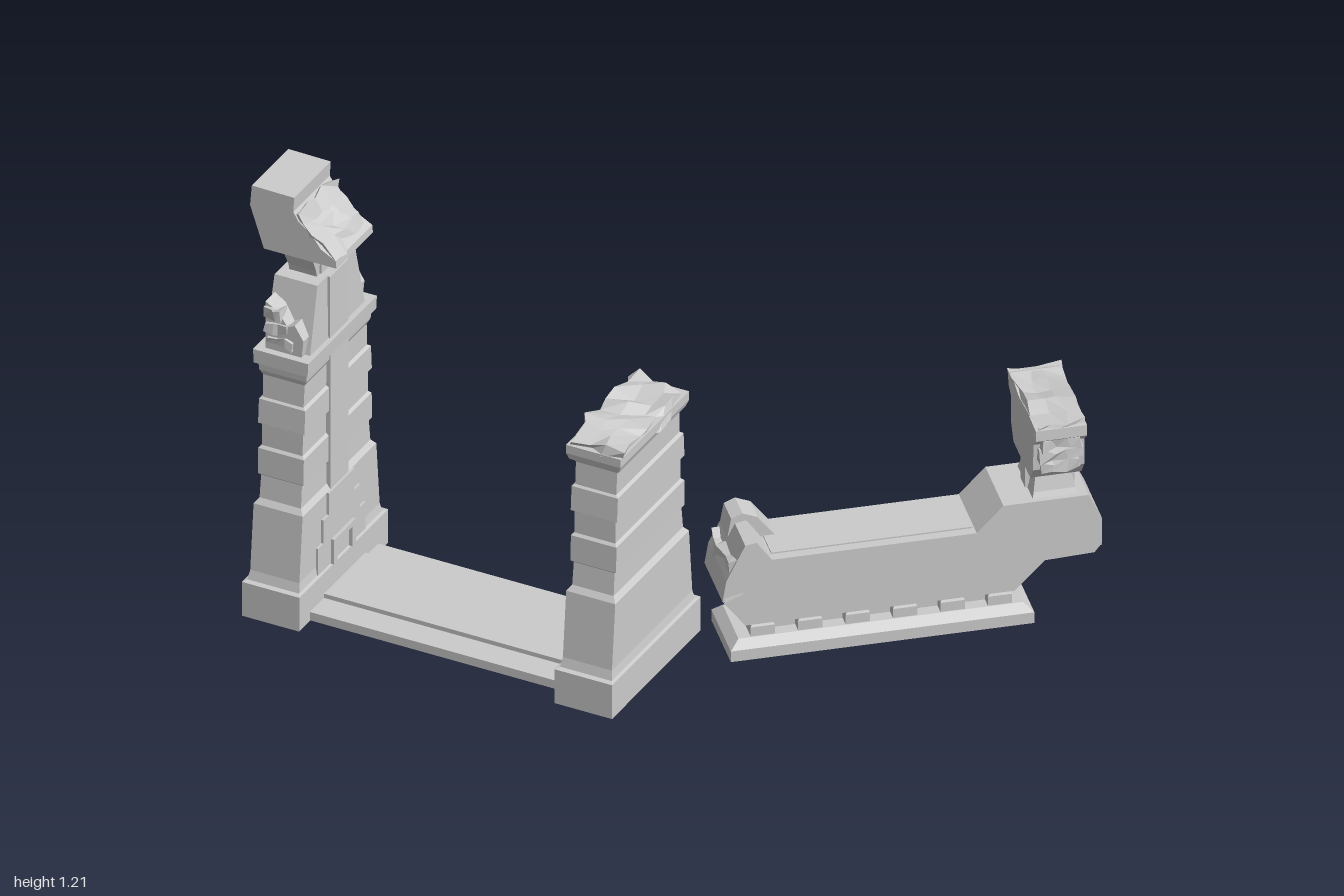
import * as THREE from 'three';

const stone = new THREE.MeshStandardMaterial({ color: 0xcccccc, flatShading: true });

function add(parent, name, geo, x = 0, y = 0, z = 0) {
  const m = new THREE.Mesh(geo, stone);
  m.name = name;
  m.position.set(x, y, z);
  parent.add(m);
  return m;
}
const box = (w, h, d) => new THREE.BoxGeometry(w, h, d);

// Stack of rectangular sections, each [y, halfX, halfZ]
function loft(rows) {
  const pos = [], idx = [];
  rows.forEach(([y, a, b]) => pos.push(-a, y, b, a, y, b, a, y, -b, -a, y, -b));
  for (let r = 0; r < rows.length - 1; r++) {
    for (let i = 0; i < 4; i++) {
      const p = r * 4 + i, q = r * 4 + (i + 1) % 4;
      idx.push(p, q, q + 4, p, q + 4, p + 4);
    }
  }
  const t = (rows.length - 1) * 4;
  idx.push(0, 2, 1, 0, 3, 2, t, t + 1, t + 2, t, t + 2, t + 3);
  const g = new THREE.BufferGeometry();
  g.setAttribute('position', new THREE.Float32BufferAttribute(pos, 3));
  g.setIndex(idx);
  const flat = g.toNonIndexed();
  flat.computeVertexNormals();
  return flat;
}

// Side profile extruded symmetrically across z
function slab(points, depth) {
  const s = new THREE.Shape(points.map(([x, y]) => new THREE.Vector2(x, y)));
  return new THREE.ExtrudeGeometry(s, { depth, bevelEnabled: false }).translate(0, 0, -depth / 2);
}

// Block with broken faces: vertices shift by a repeatable hash of their place
function rubble(w, h, d, nx, ny, nz, amp, seed) {
  const g = new THREE.BoxGeometry(w, h, d, nx, ny, nz);
  const p = g.attributes.position, v = new THREE.Vector3();
  const hash = (k) => {
    const n = Math.sin(v.x * 127.1 + v.y * 311.7 + v.z * 74.7 + seed + k * 19.3) * 43758.5;
    return n - Math.floor(n) - 0.5;
  };
  for (let i = 0; i < p.count; i++) {
    v.fromBufferAttribute(p, i);
    v.set(...v.toArray().map((c) => Math.round(c * 1000) / 1000 + 0));
    p.setXYZ(i, v.x + hash(1) * amp, v.y + hash(2) * amp, v.z + hash(3) * amp);
  }
  g.computeVertexNormals();
  return g;
}

// Banded gate pillar; its +x side is the decorated inner face
function pillar() {
  const g = new THREE.Group();
  add(g, 'pillarShaft', loft([
    [0.005, 0.083, 0.243], [0.107, 0.083, 0.243], [0.109, 0.075, 0.228], [0.135, 0.071, 0.22],
    [0.325, 0.071, 0.202], [0.34, 0.06, 0.19], [0.405, 0.059, 0.183],
    [0.41, 0.066, 0.188], [0.485, 0.066, 0.186], [0.492, 0.059, 0.179], [0.555, 0.059, 0.178],
    [0.56, 0.067, 0.185], [0.63, 0.067, 0.18], [0.635, 0.059, 0.174], [0.7, 0.06, 0.17],
    [0.715, 0.068, 0.176], [0.74, 0.07, 0.178],
  ]));
  // Inner strip with a stepped foot and a framed niche
  add(g, 'innerStrip', box(0.03, 0.42, 0.1), 0.056, 0.53);
  [[0.15, 0.26], [0.22, 0.2], [0.285, 0.14]].forEach(([y, w]) =>
    add(g, 'innerStep', box(0.03, 0.08, w), 0.063, y));
  [-1, 1].forEach((s) => add(g, 'nichePost', box(0.014, 0.06, 0.02), 0.08, 0.138, s * 0.05));
  add(g, 'nicheLintel', box(0.014, 0.016, 0.12), 0.08, 0.174);
  return g;
}

function tallPillar() {
  const g = pillar();
  add(g, 'pillarCap', loft([[0.74, 0.078, 0.188], [0.78, 0.08, 0.188]]));
  add(g, 'upperBlock', loft([[0.78, 0.065, 0.15], [0.9, 0.063, 0.12], [0.965, 0.062, 0.104]]));
  add(g, 'upperStrip', box(0.02, 0.185, 0.1), 0.06, 0.872);
  add(g, 'neck', loft([[0.965, 0.04, 0.065], [0.985, 0.04, 0.07], [1.03, 0.042, 0.093]]));
  add(g, 'neckStrip', box(0.09, 0.06, 0.1), 0, 0.997);
  // Broken side wings with ribbed ledges
  [-1, 1].forEach((s) => {
    add(g, 'brokenWing', slab([[-0.055, 0.78], [0.05, 0.78], [0.055, 0.83], [0.03, 0.87],
      [0.01, 0.86], [-0.02, 0.9], [-0.055, 0.92]], 0.055), 0, 0, s * 0.14);
    for (let i = 0; i < 3; i++) {
      add(g, 'wingRib', rubble(0.08 - i * 0.018, 0.025, 0.04, 3, 1, 1, 0.012, i + s),
        -0.012 - i * 0.009, 0.81 + i * 0.04, s * 0.156);
    }
  });
  // Broken head, high at the back and worn away toward the inner side
  add(g, 'brokenHead', slab([[-0.095, 1.03], [0.115, 1.03], [0.113, 1.052], [0.07, 1.075],
    [0.04, 1.115], [0.005, 1.14], [-0.01, 1.165], [-0.007, 1.208], [-0.13, 1.21], [-0.135, 1.15]], 0.2));
  const face = add(g, 'wornFace', rubble(0.15, 0.03, 0.185, 4, 1, 4, 0.026, 5), 0.045, 1.098);
  face.rotation.z = -0.8;
  return g;
}

function shortPillar() {
  const g = pillar();
  add(g, 'brokenCap', loft([[0.712, 0.072, 0.183], [0.73, 0.079, 0.188], [0.755, 0.079, 0.188]]));
  const top = add(g, 'brokenTop', rubble(0.15, 0.032, 0.355, 3, 1, 7, 0.026, 9), 0, 0.758);
  top.rotation.z = 0.1; // higher toward the inner side, which faces -x once mirrored
  return g;
}

// Fallen-looking beam on a plinth: local x runs along it, z across it
function beam() {
  const g = new THREE.Group();
  const plinth = [[0, 0.4, 0.105], [0.032, 0.4, 0.105], [0.055, 0.375, 0.085]];
  add(g, 'plinth', loft(plinth), 0.42);
  add(g, 'plinthCore', box(0.66, 0.05, 0.1), 0.42, 0.078);
  for (let i = 0; i < 6; i++) {
    [-1, 1].forEach((s) => add(g, 'supportBlock',
      loft([[0.055, 0.032, 0.03], [0.082, 0.032, 0.03], [0.1, 0.022, 0.02]]), 0.11 + i * 0.125, 0, s * 0.052));
  }
  add(g, 'beamBody', slab([[0.06, 0.1], [0.77, 0.1], [0.85, 0.18], [0.98, 0.185], [1, 0.21],
    [1, 0.285], [0.965, 0.36], [0.74, 0.36], [0.67, 0.288], [0.13, 0.288], [0.09, 0.345],
    [0.06, 0.34], [0.01, 0.24], [0, 0.18]], 0.195));
  add(g, 'topPanel', box(0.53, 0.006, 0.14), 0.4, 0.289);
  // Broken end crest and worn far end
  add(g, 'brokenCrest', slab([[0.04, 0.3], [0.17, 0.285], [0.12, 0.35], [0.08, 0.367],
    [0.05, 0.355]], 0.08), 0, 0, -0.055);
  add(g, 'wornNearEnd', rubble(0.05, 0.1, 0.18, 1, 2, 4, 0.025, 2), 0.035, 0.24);
  add(g, 'wornFarEnd', rubble(0.03, 0.09, 0.18, 1, 2, 4, 0.015, 3), 0.985, 0.245);

  // Head set across the beam
  const head = new THREE.Group();
  head.name = 'beamHead';
  head.position.x = 0.88;
  head.rotation.y = -Math.PI / 2;
  add(head, 'headNeck', loft([[0.355, 0.085, 0.06], [0.375, 0.075, 0.055], [0.435, 0.06, 0.045]]));
  [-1, 1].forEach((s) => add(head, 'neckRib', box(0.05, 0.075, 0.02), 0, 0.395, s * 0.055));
  add(head, 'headBlock', slab([[-0.09, 0.43], [0.09, 0.43], [0.12, 0.47], [0.125, 0.55], [0.152, 0.575],
    [0.15, 0.605], [0.06, 0.61], [-0.03, 0.6], [-0.12, 0.62], [-0.15, 0.61],
    [-0.145, 0.57], [-0.115, 0.55], [-0.115, 0.47]], 0.135));
  add(head, 'headTop', rubble(0.28, 0.02, 0.13, 5, 1, 3, 0.018, 7), 0, 0.606);
  [-1, 1].forEach((s) => {
    for (let i = 0; i < 3; i++) {
      add(head, 'brokenFeature', rubble(0.035, 0.03, 0.11, 1, 1, 3, 0.016, i * 3 + s),
        s * (0.122 + i * 0.005), 0.485 + i * 0.036);
    }
  });
  g.add(head);
  return g;
}

export function createModel() {
  const model = new THREE.Group();
  model.name = 'ruinedGate';

  const left = tallPillar();
  left.name = 'tallPillar';
  left.position.set(-0.865, 0, 0.355);
  const right = shortPillar();
  right.name = 'shortPillar';
  right.position.set(0.04, 0, 0.355);
  right.rotation.y = Math.PI;

  // Threshold: raised middle with lower edge strips
  const floor = new THREE.Group();
  floor.name = 'threshold';
  add(floor, 'floorPanel', box(0.76, 0.02, 0.225), -0.41, 0.035, 0.35);
  [0.205, 0.5].forEach((z) => add(floor, 'floorEdge', box(0.76, 0.025, 0.08), -0.41, 0.02, z));

  const fallen = beam();
  fallen.name = 'fallenBeam';
  fallen.position.set(0.175, 0, 0.14);
  fallen.rotation.y = THREE.MathUtils.degToRad(41.6);

  model.add(left, right, floor, fallen);
  return model;
}
